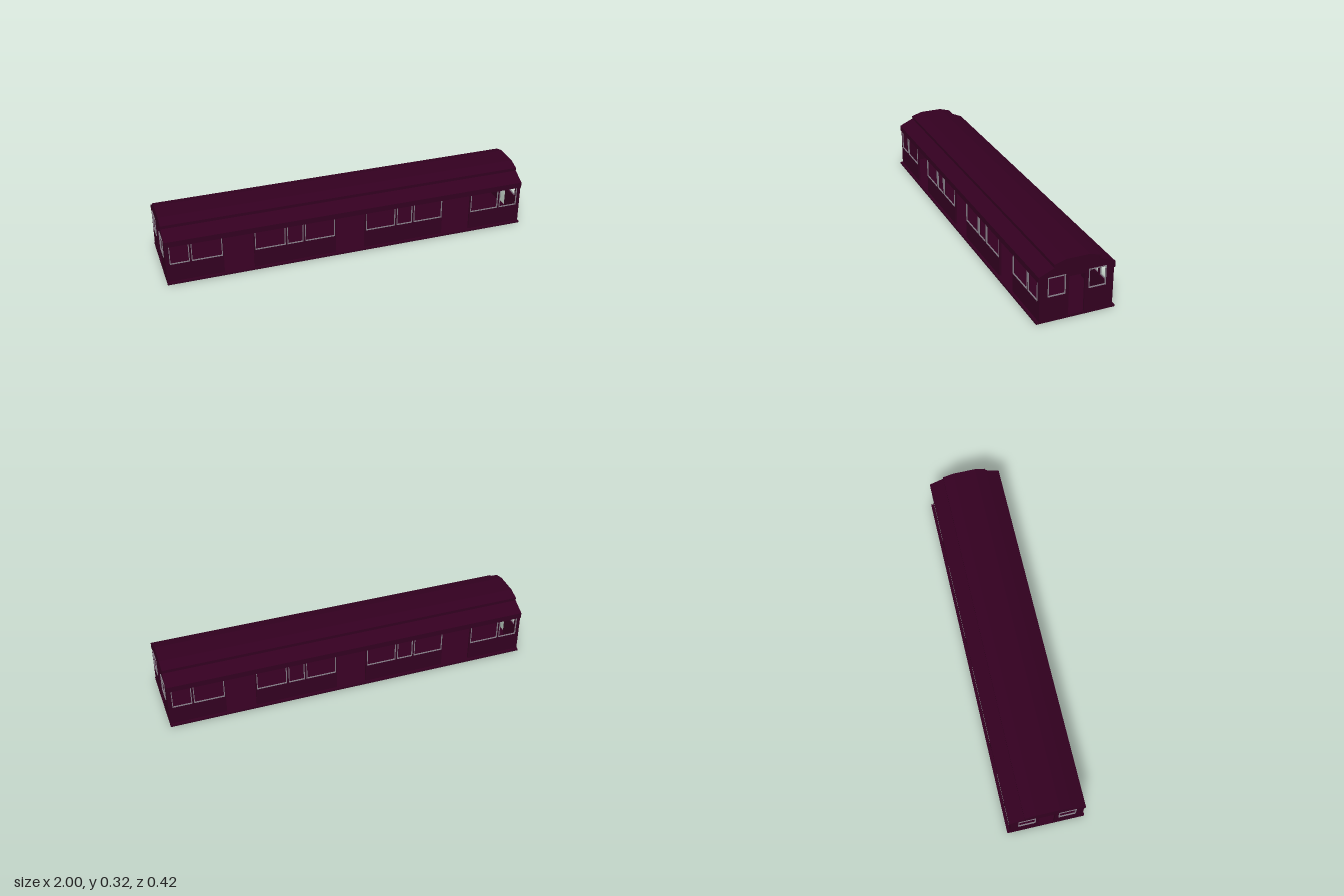
import * as THREE from 'three';

export function createModel() {
  const model = new THREE.Group();
  model.name = 'railCarriage';
  const maroon = new THREE.MeshStandardMaterial({ color: 0x330020 });
  maroon.name = 'dark maroon';
  const grey = new THREE.MeshStandardMaterial({ color: 0x827a84 });
  grey.name = 'window frame grey';

  const add = (parent, name, geometry, material) => {
    const mesh = new THREE.Mesh(geometry, material);
    mesh.name = name;
    parent.add(mesh);
    return mesh;
  };
  const rect = (x0, x1, y0, y1) =>
    [[x0, y0], [x1, y0], [x1, y1], [x0, y1]].map(([x, y]) => new THREE.Vector2(x, y));
  // Flat plate with holes, extruded from z0 to z1
  const plate = (outline, holes, z0, z1) => {
    const shape = new THREE.Shape(outline);
    holes.forEach((h) => shape.holes.push(new THREE.Path(h)));
    return new THREE.ExtrudeGeometry(shape, { depth: z1 - z0, bevelEnabled: false }).translate(0, 0, z0);
  };
  // Ring-shaped frame lining one window opening
  const frame = ([x0, x1, y0, y1], t, z0, z1) =>
    plate(rect(x0, x1, y0, y1), [rect(x0 + t, x1 - t, y0 + t, y1 - t)], z0, z1);

  // Floor
  add(model, 'floor', new THREE.BoxGeometry(1.994, 0.01, 0.42).translate(0, 0.005, 0), maroon);

  // Stepped clerestory roof, a thin shell running the full length
  const half = [[0.201, 0.222], [0.201, 0.253], [0.122, 0.288], [0.122, 0.305], [0.062, 0.323]];
  const inner = [[0.192, 0.222], [0.192, 0.248], [0.114, 0.283], [0.114, 0.299], [0.06, 0.315]];
  const arch = (pts) => [...pts, ...pts.map(([z, y]) => [-z, y]).reverse()]
    .map(([z, y]) => new THREE.Vector2(z, y));
  const roofGeometry = plate([...arch(half), ...arch(inner).reverse()], [], -0.997, 0.997);
  add(model, 'roof', roofGeometry.rotateY(Math.PI / 2), maroon);

  // Side wall panels between the three doorways, with their windows
  const panels = [
    { span: [-0.993, -0.693], windows: [[-0.975, -0.871], [-0.861, -0.698]] },
    { span: [-0.53, -0.083], windows: [[-0.525, -0.361], [-0.351, -0.263], [-0.253, -0.088]] },
    { span: [0.083, 0.53], windows: [[0.088, 0.253], [0.263, 0.351], [0.361, 0.525]] },
    { span: [0.693, 0.993], windows: [[0.698, 0.861], [0.871, 0.975]] },
  ];
  for (const [name, turn] of [['frontSide', 0], ['backSide', Math.PI]]) {
    const side = new THREE.Group();
    side.name = name;
    for (const { span, windows } of panels) {
      const holes = windows.map(([a, b]) => rect(a, b, 0.115, 0.227));
      add(side, 'wallPanel', plate(rect(...span, 0.01, 0.235), holes, 0.185, 0.195), maroon);
      for (const [a, b] of windows)
        add(side, 'windowFrame', frame([a, b, 0.115, 0.227], 0.004, 0.192, 0.198), grey);
    }
    side.rotation.y = turn;
    model.add(side);
  }

  // End bulkheads with a gangway door and two framed windows
  const endWindows = [[0.061, 0.153, 0.138, 0.242], [-0.153, -0.061, 0.138, 0.242]];
  const endOutline = [[0.195, 0.01], [0.195, 0.25], [0.118, 0.286], [0.118, 0.303], [0.061, 0.32]];
  const endHoles = [rect(-0.042, 0.042, 0.013, 0.225), ...endWindows.map((w) => rect(...w))];
  for (const [name, turn] of [['leftEnd', Math.PI / 2], ['rightEnd', -Math.PI / 2]]) {
    const end = new THREE.Group();
    end.name = name;
    add(end, 'bulkhead', plate(arch(endOutline), endHoles, 0.986, 0.996), maroon);
    for (const w of endWindows) add(end, 'endWindowFrame', frame(w, 0.004, 0.993, 1), grey);
    end.rotation.y = turn;
    model.add(end);
  }
  return model;
}
